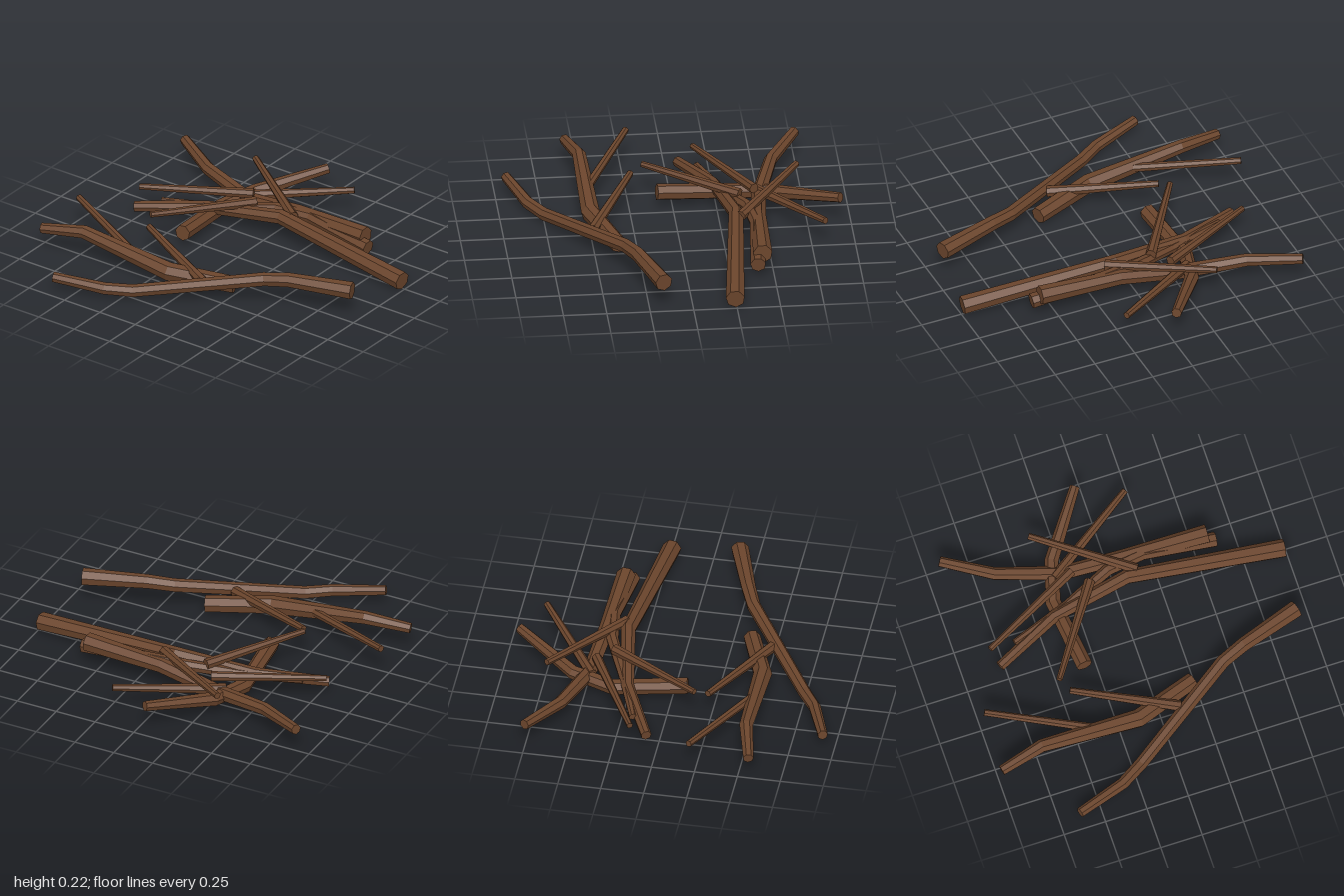
import * as THREE from 'three';

const SIDES = 7;

// Tapered, bent stick: one ring of corners per path point, with capped ends.
// Each path point is [x, y, z, radius].
function stickGeometry(path) {
  const centres = path.map(([x, y, z]) => new THREE.Vector3(x, y, z));
  const up = new THREE.Vector3(0, 1, 0);
  const positions = [];
  const index = [];
  centres.forEach((c, i) => {
    const before = centres[Math.max(i - 1, 0)];
    const after = centres[Math.min(i + 1, centres.length - 1)];
    const along = after.clone().sub(before).normalize();
    const side = new THREE.Vector3().crossVectors(up, along).normalize();
    const top = new THREE.Vector3().crossVectors(along, side);
    for (let s = 0; s < SIDES; s++) {
      const a = (s / SIDES) * Math.PI * 2 + 0.3;
      const p = c.clone()
        .addScaledVector(side, Math.cos(a) * path[i][3])
        .addScaledVector(top, Math.sin(a) * path[i][3]);
      positions.push(p.x, p.y, p.z);
    }
  });
  // Bark faces between neighbouring rings
  for (let i = 0; i < path.length - 1; i++) {
    for (let s = 0; s < SIDES; s++) {
      const t = (s + 1) % SIDES;
      const a = i * SIDES + s, b = i * SIDES + t;
      index.push(a, b, b + SIDES, a, b + SIDES, a + SIDES);
    }
  }
  // Cut ends
  const last = (path.length - 1) * SIDES;
  for (let s = 1; s < SIDES - 1; s++) {
    index.push(0, s + 1, s, last, last + s, last + s + 1);
  }
  const geometry = new THREE.BufferGeometry();
  geometry.setAttribute('position', new THREE.Float32BufferAttribute(positions, 3));
  geometry.setIndex(index);
  const flat = geometry.toNonIndexed();
  flat.computeVertexNormals();
  return flat;
}

export function createModel() {
  const group = new THREE.Group();
  group.name = 'stickPile';
  const bark = new THREE.MeshStandardMaterial({ color: 0x6b452c, flatShading: true });
  bark.name = 'bark brown';

  const sticks = {
    // Front pair of branches
    frontLongBranch: [
      [-0.63, 0.085, 0.93, 0.03], [-0.34, 0.058, 0.83, 0.036], [-0.2, 0.05, 0.745, 0.038],
      [0.43, 0.145, 0.335, 0.041], [0.57, 0.16, 0.28, 0.043], [0.93, 0.155, 0.165, 0.052],
    ],
    frontThickBranch: [
      [-0.98, 0.13, 0.56, 0.031], [-0.72, 0.16, 0.5, 0.04],
      [-0.13, 0.085, 0.49, 0.055], [0.24, 0.06, 0.36, 0.05],
    ],
    frontOuterTwig: [[-0.97, 0.18, 0.21, 0.02], [-0.36, 0.12, 0.495, 0.027]],
    frontInnerTwig: [[-0.46, 0.16, 0.23, 0.02], [0.12, 0.1, 0.5, 0.033]],

    // Crossing heap at the back
    longRightBranch: [
      [-0.78, 0.06, -0.07, 0.031], [-0.4, 0.1, -0.245, 0.037],
      [0.07, 0.145, -0.33, 0.044], [0.99, 0.06, -0.24, 0.055],
    ],
    backThickBranch: [
      [-0.92, 0.15, -0.755, 0.031], [-0.64, 0.12, -0.595, 0.038],
      [-0.27, 0.08, -0.49, 0.044], [0.1, 0.13, -0.455, 0.046], [0.59, 0.14, -0.435, 0.056],
    ],
    innerBranch: [
      [-0.66, 0.09, -0.17, 0.021], [-0.3, 0.1, -0.29, 0.03], [-0.02, 0.14, -0.405, 0.036],
      [0.2, 0.14, -0.435, 0.038], [0.63, 0.09, -0.405, 0.045],
    ],
    crossBranch: [
      [-0.04, 0.16, -0.94, 0.03], [-0.3, 0.085, -0.58, 0.042],
      [-0.37, 0.065, -0.34, 0.046], [-0.325, 0.1, 0.09, 0.048],
    ],

    // Thin side twigs
    backRightTwig: [[0.225, 0.15, -0.83, 0.02], [-0.32, 0.1, -0.47, 0.032]],
    backTopTwig: [[-0.395, 0.21, -0.72, 0.02], [0.14, 0.16, -0.35, 0.031]],
    leftTwig: [[-0.81, 0.14, -0.16, 0.018], [-0.22, 0.15, -0.46, 0.03]],
    forwardTwig: [[-0.5, 0.195, 0.16, 0.018], [-0.14, 0.16, -0.37, 0.032]],
  };

  for (const [name, path] of Object.entries(sticks)) {
    const mesh = new THREE.Mesh(stickGeometry(path), bark);
    mesh.name = name;
    group.add(mesh);
  }
  return group;
}
